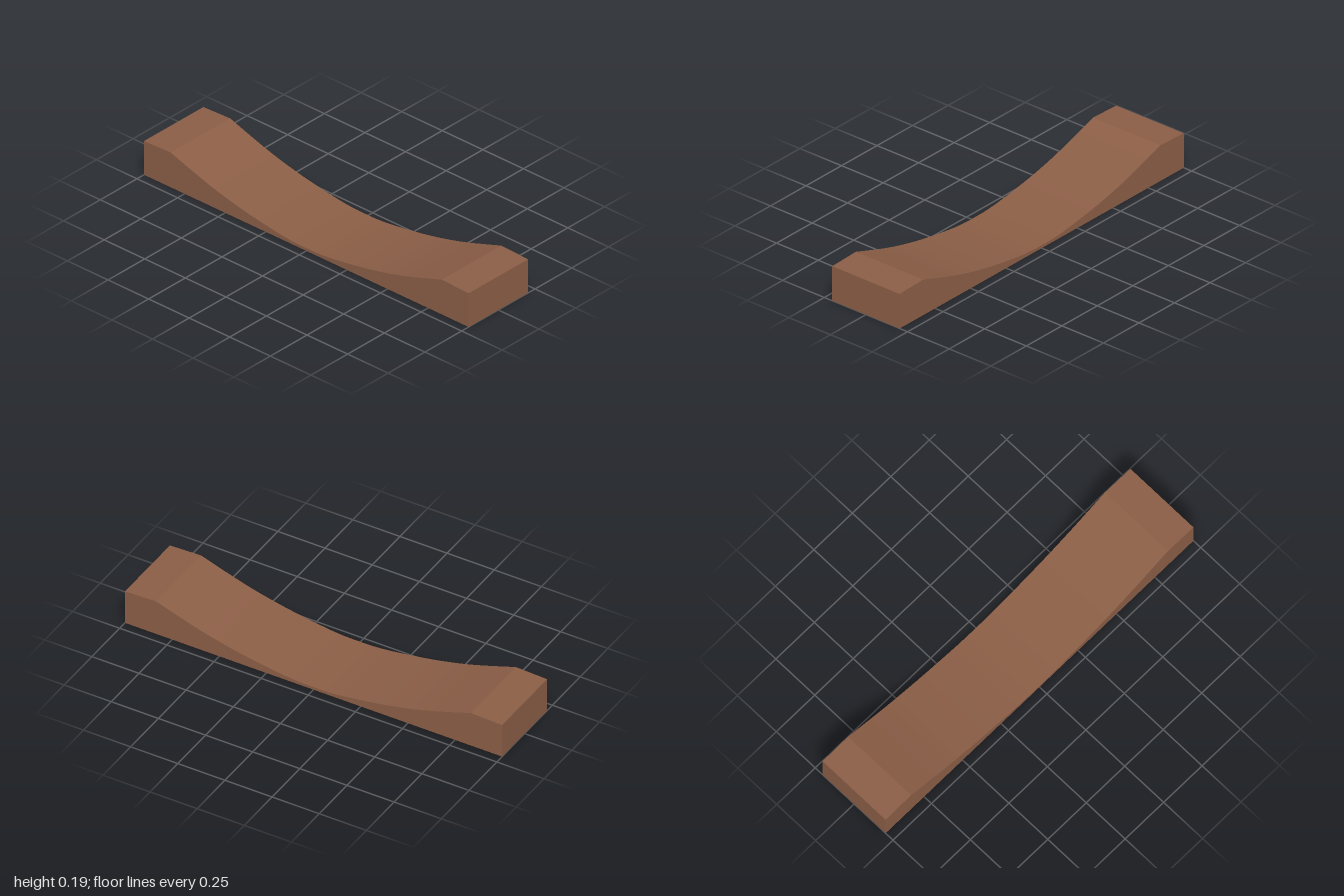
import * as THREE from 'three';

const WIDTH = 0.405;
// Half of the dip, from the ridge to the middle: [z, y]
const DIP = [[0.835, 0.186], [0.6, 0.11], [0.4, 0.062], [0.2, 0.029], [0.09, 0.017], [0, 0.015]];

export function createModel() {
  const brown = new THREE.MeshStandardMaterial({ color: 0x8b5e46 });
  brown.name = 'brown';

  // Side profile: flat base, two end platforms, a curved dip between
  const half = DIP.map(([z, y]) => new THREE.Vector2(z, y));
  const mirrored = half.slice(0, -1).reverse().map((p) => new THREE.Vector2(-p.x, p.y));
  const profile = new THREE.Shape();
  profile.moveTo(-1, 0);
  profile.lineTo(1, 0);
  profile.lineTo(1, 0.18);
  profile.lineTo(half[0].x, half[0].y);
  profile.splineThru([...half.slice(1), ...mirrored]);
  profile.lineTo(-1, 0.18);
  profile.closePath();

  // Extruded across the width, then turned so its length runs along z
  const geometry = new THREE.ExtrudeGeometry(profile, { depth: WIDTH, bevelEnabled: false, curveSegments: 4 });
  geometry.translate(0, 0, -WIDTH / 2);
  geometry.rotateY(-Math.PI / 2);

  const ramp = new THREE.Mesh(geometry, brown);
  ramp.name = 'curvedRamp';
  const group = new THREE.Group();
  group.name = 'ramp';
  group.add(ramp);
  return group;
}
